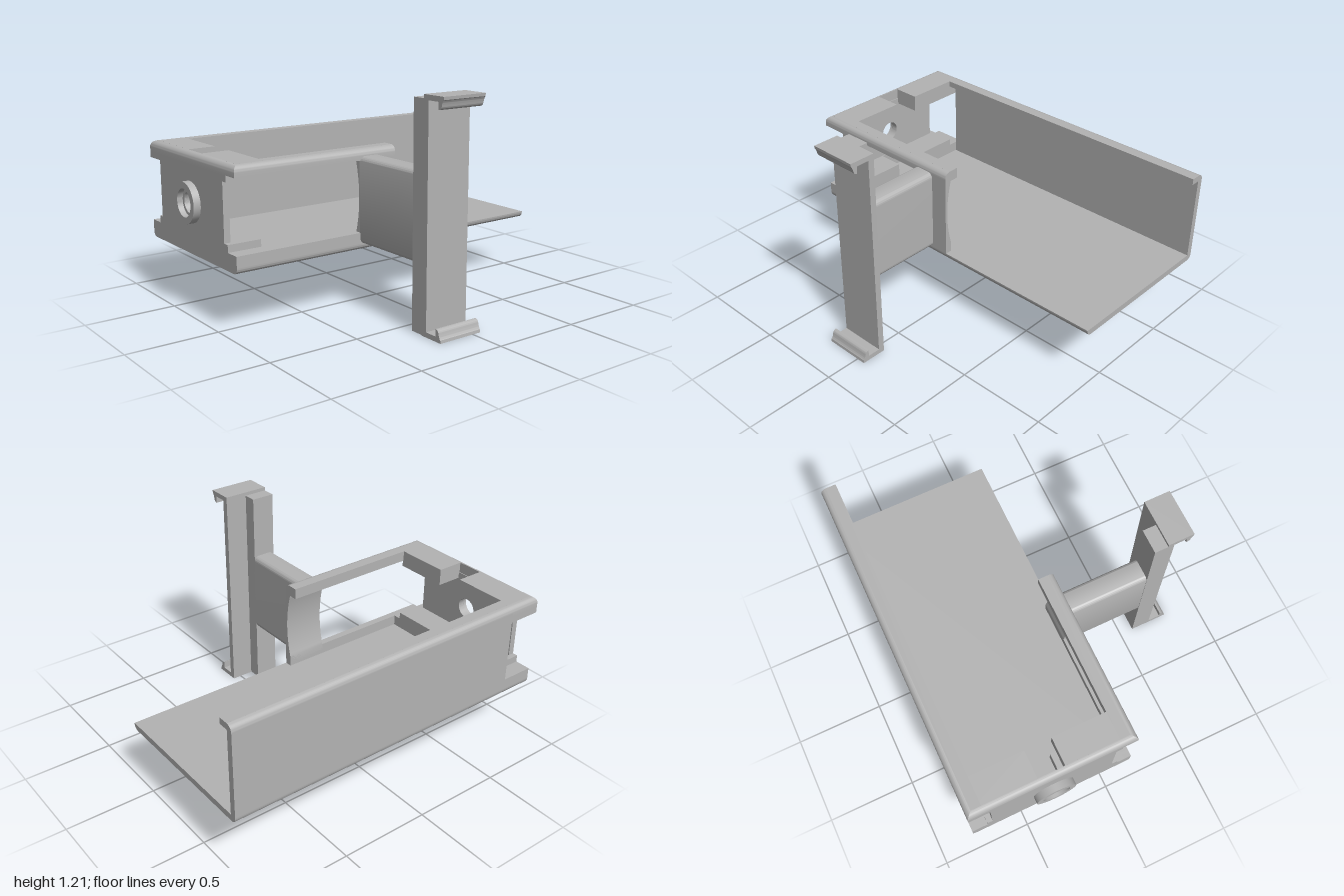
import * as THREE from 'three';
import { toCreasedNormals } from 'three/addons/utils/BufferGeometryUtils.js';

export function createModel() {
  const model = new THREE.Group();
  model.name = 'clampBracketTray';
  const grey = new THREE.MeshStandardMaterial({ color: 0xb3b3b3 });
  grey.name = 'plain grey';

  const add = (name, geometry, parent = model) => {
    const mesh = new THREE.Mesh(geometry, grey);
    mesh.name = name;
    parent.add(mesh);
    return mesh;
  };
  // Box from its limits on each axis
  const box = (name, x0, x1, y0, y1, z0, z1, parent) => {
    const g = new THREE.BoxGeometry(x1 - x0, y1 - y0, z1 - z0);
    g.translate((x0 + x1) / 2, (y0 + y1) / 2, (z0 + z1) / 2);
    return add(name, g, parent);
  };
  const extrude = (shape, depth) => toCreasedNormals(
    new THREE.ExtrudeGeometry(shape, { depth, bevelEnabled: false, curveSegments: 24 }), 0.5);

  // Floor: slab with rounded lower side edges
  const r = 0.033;
  const floor = new THREE.Shape();
  floor.moveTo(-0.8 + r, 0.325);
  floor.lineTo(0.14 - r, 0.325);
  floor.quadraticCurveTo(0.14, 0.325, 0.14, 0.36);
  floor.lineTo(-0.8, 0.36);
  floor.quadraticCurveTo(-0.8, 0.325, -0.8 + r, 0.325);
  add('floor', extrude(floor, 1.96).translate(0, 0, -1));

  // Left wall with its inward lip, and the low right kerb
  box('leftWall', -0.8, -0.765, 0.36, 0.835, -1, 0.77);
  box('leftLip', -0.766, -0.71, 0.835, 0.87, -1, 0.926);
  box('rightKerb', 0.1, 0.14, 0.36, 0.42, -0.02, 0.96);
  box('rightLip', 0.05, 0.106, 0.81, 0.87, -0.02, 0.926);

  // Top rim: rounded outer edge swept around three sides with mitred corners
  const profile = [[0, 0.81]];
  for (let i = 0; i <= 8; i++) {
    const a = (i / 8) * Math.PI / 2;
    profile.push([0.035 * (1 - Math.cos(a)), 0.835 + 0.035 * Math.sin(a)]);
  }
  profile.push([0.035, 0.81]);
  const stations = [ // x, z, inset direction x, z
    [-0.8, -1, 1, 0], [-0.8, 0.96, 1, -1], [0.14, 0.96, -1, -1], [0.14, -0.02, -1, 0],
  ];
  const at = (s, p) => [s[0] + s[2] * p[0], p[1], s[1] + s[3] * p[0]];
  const verts = [];
  const n = profile.length;
  for (let i = 0; i < 3; i++) {
    for (let j = 0; j < n; j++) {
      const p = profile[j], q = profile[(j + 1) % n];
      const a = at(stations[i], p), b = at(stations[i], q);
      const c = at(stations[i + 1], p), d = at(stations[i + 1], q);
      verts.push(...a, ...c, ...b, ...b, ...c, ...d);
    }
  }
  for (let j = 1; j < n - 1; j++) {
    const tri = [profile[0], profile[j], profile[j + 1]];
    for (const p of tri) verts.push(...at(stations[0], p));
    for (const p of tri.reverse()) verts.push(...at(stations[3], p));
  }
  const rim = new THREE.BufferGeometry();
  rim.setAttribute('position', new THREE.Float32BufferAttribute(verts, 3));
  add('topRim', toCreasedNormals(rim, 0.5));

  // Front rails above and below, each interrupted by the central notch
  const front = new THREE.Group();
  front.name = 'frontRails';
  model.add(front);
  box('upperRailLeftPart', -0.766, -0.405, 0.81, 0.87, 0.77, 0.926, front);
  box('upperRailRightPart', -0.255, 0.06, 0.81, 0.87, 0.77, 0.926, front);
  box('upperLedgeLeftPart', -0.8, -0.405, 0.775, 0.81, 0.77, 0.93, front);
  box('upperLedgeRightPart', -0.255, 0.055, 0.775, 0.81, 0.77, 0.93, front);
  box('upperStrip', -0.8, 0.055, 0.775, 0.81, 0.92, 0.96, front);
  box('lowerRailLeftPart', -0.8, -0.405, 0.36, 0.42, 0.77, 0.93, front);
  box('lowerRailRightPart', -0.255, 0.14, 0.36, 0.42, 0.77, 0.93, front);
  box('lowerStrip', -0.8, 0.14, 0.36, 0.42, 0.92, 0.96, front);
  box('lowerLedgeLeftPart', -0.71, -0.405, 0.42, 0.46, 0.77, 0.93, front);
  box('lowerLedgeRightPart', -0.255, 0.055, 0.42, 0.46, 0.77, 0.93, front);
  box('lowerLedgeStrip', -0.71, 0.055, 0.42, 0.46, 0.92, 0.96, front);

  // Front plate with a round hole
  const cx = -0.33, cy = 0.607;
  const plate = new THREE.Shape();
  plate.moveTo(-0.68, 0.4);
  plate.lineTo(0.02, 0.4);
  plate.lineTo(0.02, 0.8);
  plate.lineTo(-0.68, 0.8);
  plate.closePath();
  plate.holes.push(new THREE.Path().absarc(cx, cy, 0.058, 0, Math.PI * 2, true));
  add('frontPlate', extrude(plate, 0.035).translate(0, 0, 0.925));

  // Stepped ring around the hole
  const ring = [[0.058, 0.94], [0.112, 0.94], [0.112, 1], [0.076, 1], [0.076, 0.968], [0.058, 0.968], [0.058, 0.94]]
    .map(([a, b]) => new THREE.Vector2(a, b));
  const boss = toCreasedNormals(new THREE.LatheGeometry(ring, 48), 0.5);
  add('boss', boss.rotateX(Math.PI / 2).translate(cx, cy, 0));

  // Right wall section with a hollow inner face
  const wall = new THREE.Shape();
  wall.moveTo(0.1, 0.36);
  wall.lineTo(0.14, 0.36);
  wall.lineTo(0.14, 0.83);
  wall.lineTo(0.1, 0.83);
  wall.lineTo(0.1, 0.805);
  wall.quadraticCurveTo(0.155, 0.61, 0.1, 0.42);
  wall.closePath();
  add('rightWall', extrude(wall, 0.23).translate(0, 0, -0.02));

  // Arm: rounded bar running sideways to the clamp
  const arm = new THREE.Shape();
  const [a0, a1, b0, b1, k] = [-0.212, -0.08, 0.36, 0.832, 0.03];
  arm.absarc(a1 - k, b1 - k, k, 0, Math.PI / 2);
  arm.absarc(a0 + k, b1 - k, k, Math.PI / 2, Math.PI);
  arm.absarc(a0 + k, b0 + k, k, Math.PI, Math.PI * 1.5);
  arm.absarc(a1 - k, b0 + k, k, Math.PI * 1.5, Math.PI * 2);
  add('arm', extrude(arm, 0.45).rotateY(Math.PI / 2).translate(0.135, 0, 0));

  // Clamp: stem, back plate and two hooked jaws
  const clamp = new THREE.Group();
  clamp.name = 'clamp';
  model.add(clamp);
  box('clampStem', 0.58, 0.66, 0.003, 1.19, 0.08, 0.214, clamp);
  box('clampPlate', 0.655, 0.69, 0.003, 1.2, -0.05, 0.214, clamp);
  const jaw = (name, y, s) => {
    const shape = new THREE.Shape();
    shape.moveTo(0.655, y);
    shape.lineTo(0.8, y);
    shape.lineTo(0.798, y - s * 0.016);
    shape.quadraticCurveTo(0.789, y - s * 0.025, 0.785, y - s * 0.045);
    shape.quadraticCurveTo(0.78, y - s * 0.066, 0.762, y - s * 0.066);
    shape.lineTo(0.762, y - s * 0.027);
    shape.lineTo(0.655, y - s * 0.027);
    shape.closePath();
    add(name, extrude(shape, 0.264).translate(0, 0, -0.05), clamp);
  };
  jaw('upperJaw', 1.21, 1);
  jaw('lowerJaw', 0, -1);

  return model;
}
